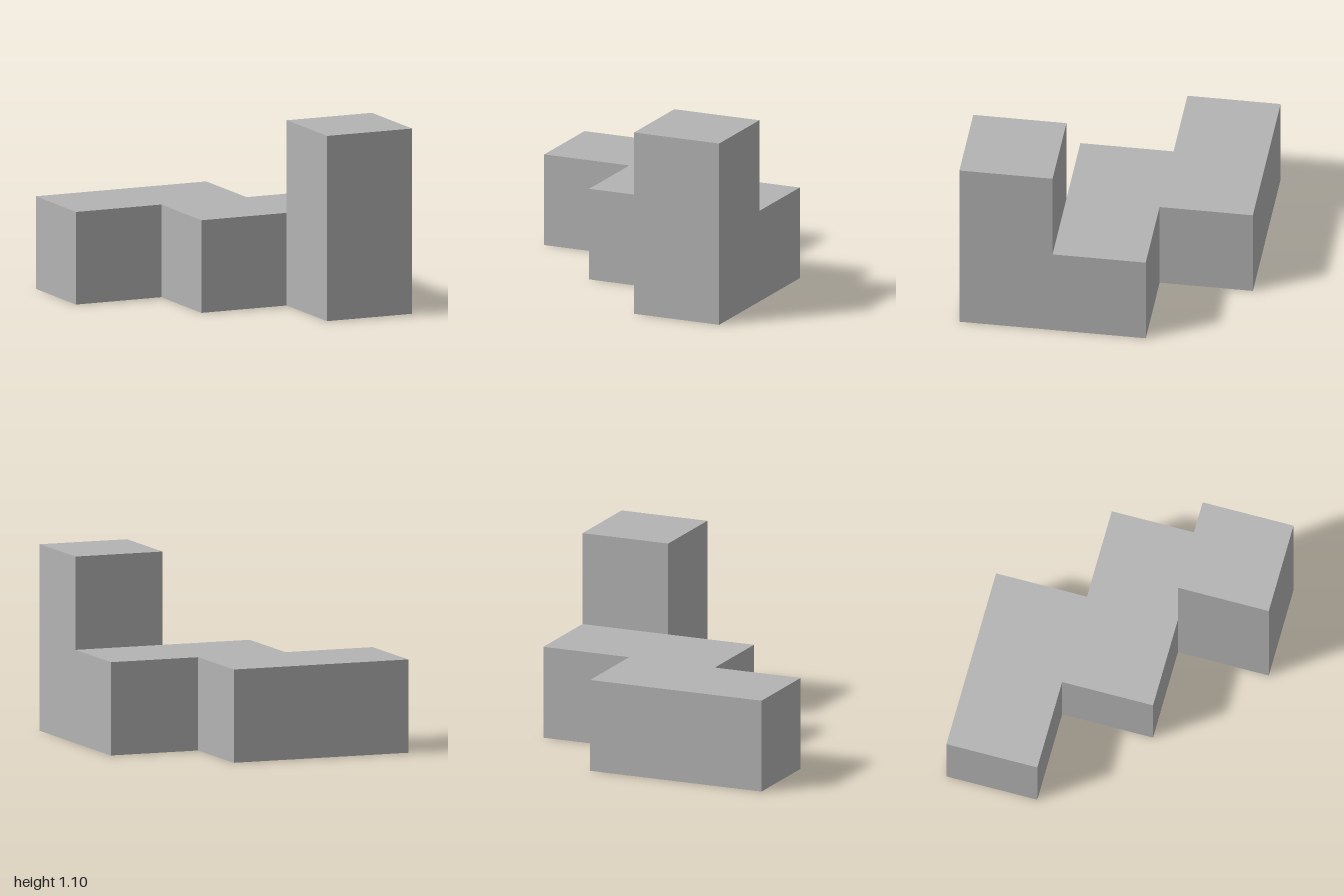
import * as THREE from 'three';

const S = 0.55; // edge of one unit cube

export function createModel() {
  const grey = new THREE.MeshStandardMaterial({ color: 0xb3b3b3 });
  grey.name = 'grey';

  const model = new THREE.Group();
  model.name = 'steppedBlock';

  // Cubes are laid on a grid turned slightly about the vertical
  const blocks = new THREE.Group();
  blocks.name = 'blocks';
  blocks.rotation.y = -Math.atan(0.25);
  blocks.position.set(-0.0667, 0, 0); // centre of the middle cube
  model.add(blocks);

  // Low staggered base: two offset rows of two cubes, as one solid
  const outline = [
    [-1.5, -1.5], [0.5, -1.5], [0.5, -0.5], [1.5, -0.5],
    [1.5, 0.5], [-0.5, 0.5], [-0.5, -0.5], [-1.5, -0.5],
  ].map(([x, z]) => new THREE.Vector2(x * S, z * S));
  const baseGeometry = new THREE.ExtrudeGeometry(new THREE.Shape(outline), {
    depth: S, bevelEnabled: false,
  });
  baseGeometry.rotateX(Math.PI / 2).translate(0, S, 0);
  const base = new THREE.Mesh(baseGeometry, grey);
  base.name = 'staggeredBase';
  blocks.add(base);

  // Column two cubes high at the front
  const column = new THREE.Mesh(new THREE.BoxGeometry(S, 2 * S, S), grey);
  column.name = 'frontColumn';
  column.position.set(S, S, S);
  blocks.add(column);

  return model;
}
